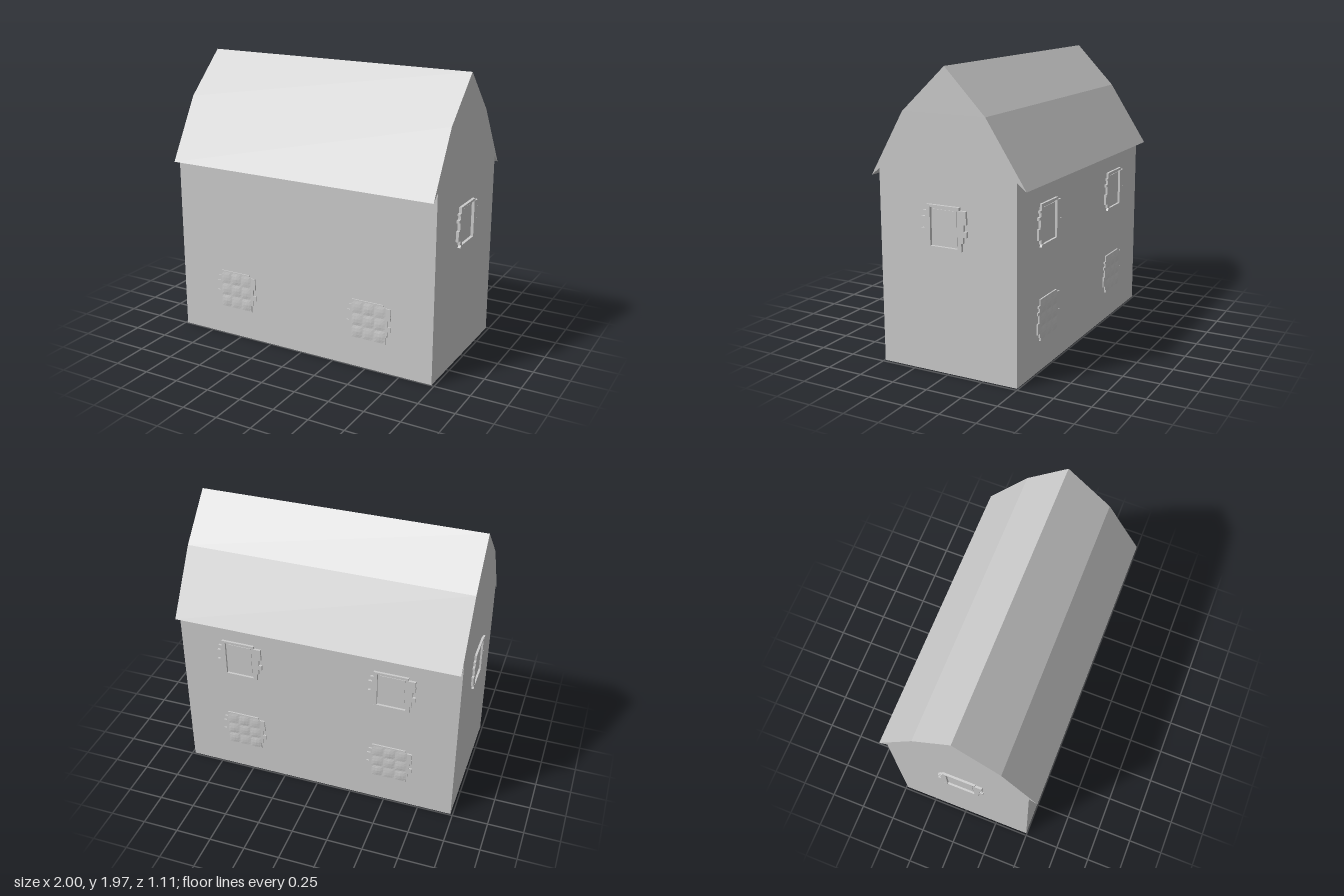
import * as THREE from 'three';

const grey = new THREE.MeshStandardMaterial({ color: 0xcccccc, flatShading: true });
const XMIN = -0.985, XMAX = 0.98, ZMIN = -0.49, ZMAX = 0.495, EAVE = 1.3;

// Irregular quoined outline of a window surround, centred on its own origin
const SURROUND = [
  [-0.125, -0.14], [0.125, -0.14], [0.125, -0.085], [0.137, -0.085], [0.137, -0.045],
  [0.163, -0.045], [0.163, -0.008], [0.142, -0.008], [0.142, 0.035], [0.16, 0.035],
  [0.16, 0.075], [0.158, 0.075], [0.158, 0.12], [0.11, 0.12], [0.11, 0.14],
  [-0.125, 0.14], [-0.125, 0.1], [-0.148, 0.1], [-0.148, 0.085], [-0.135, 0.085],
  [-0.135, 0.06], [-0.16, 0.06], [-0.16, 0.04], [-0.142, 0.04], [-0.142, -0.015],
  [-0.163, -0.015], [-0.163, -0.088], [-0.132, -0.088], [-0.132, -0.118], [-0.115, -0.118],
];
const toShape = (pts) => new THREE.Shape(pts.map(([x, y]) => new THREE.Vector2(x, y)));

function addMesh(parent, geometry, name) {
  const mesh = new THREE.Mesh(geometry, grey);
  mesh.name = name;
  parent.add(mesh);
  return mesh;
}

// Window with a stone surround: either an open pane or rough stone infill
function makeWindow(name, filled, depth) {
  const group = new THREE.Group();
  group.name = name;
  const shape = toShape(SURROUND);
  if (!filled) {
    const hole = [[-0.1, -0.125], [-0.1, 0.125], [0.098, 0.125], [0.098, -0.125]];
    shape.holes.push(new THREE.Path(hole.map(([x, y]) => new THREE.Vector2(x, y))));
  }
  const base = filled ? depth - 0.006 : depth;
  const frame = new THREE.ExtrudeGeometry(shape, { depth: base, bevelEnabled: false });
  addMesh(group, frame, 'surround');

  if (filled) {
    // Three by three rounded stones rising from the slab
    const stones = new THREE.PlaneGeometry(0.25, 0.264, 12, 12);
    const p = stones.attributes.position;
    for (let i = 0; i < p.count; i++) {
      const x = p.getX(i), y = p.getY(i);
      const bump = Math.abs(Math.sin((x / 0.25 + 0.5) * 3 * Math.PI) *
        Math.sin((y / 0.264 + 0.5) * 3 * Math.PI));
      p.setZ(i, base + 0.0003 + 0.0055 * bump * (0.8 + 0.2 * Math.sin(x * 40 + y * 23)));
    }
    stones.computeVertexNormals();
    addMesh(group, stones, 'stoneInfill');
  } else {
    addMesh(group, new THREE.BoxGeometry(0.17, 0.22, 0.004), 'pane').position.z = 0.002;
  }
  return group;
}

export function createModel() {
  const model = new THREE.Group();
  model.name = 'house';

  // Walls
  const walls = new THREE.BoxGeometry(XMAX - XMIN, EAVE, ZMAX - ZMIN);
  walls.translate((XMIN + XMAX) / 2, EAVE / 2, (ZMIN + ZMAX) / 2);
  addMesh(model, walls, 'walls');

  // Two-pitch roof with its gable ends; profile runs from front (-s) to back (+s)
  const profile = [
    [-ZMAX, EAVE], [-0.555, 1.25], [-0.31, 1.675], [0, 1.965],
    [0.28, 1.675], [0.555, 1.25], [-ZMIN, EAVE],
  ];
  const roof = new THREE.ExtrudeGeometry(toShape(profile), { depth: XMAX - XMIN, bevelEnabled: false });
  roof.rotateY(Math.PI / 2);
  roof.translate(XMIN, 0, 0);
  addMesh(model, roof, 'roof');

  // Windows: name, position, turn about y, filled, depth
  const LOW = 0.347, HIGH = 0.97, H = Math.PI / 2;
  const windows = [
    ['sideWindowLeft', XMAX, HIGH, 0.01, H, false, 0.02],
    ['sideWindowRight', XMIN, HIGH, 0.01, -H, false, 0.015],
  ];
  for (const x of [-0.53, 0.52]) {
    windows.push(['frontWindow', x, LOW, ZMAX, 0, true, 0.014]);
  }
  for (const x of [-0.53, 0.55]) {
    windows.push(['backLowerWindow', x, LOW, ZMIN, Math.PI, true, 0.016]);
    windows.push(['backUpperWindow', x, HIGH, ZMIN, Math.PI, false, 0.016]);
  }
  for (const [name, x, y, z, turn, filled, depth] of windows) {
    const w = makeWindow(name, filled, depth);
    w.position.set(x, y, z);
    w.rotation.y = turn;
    model.add(w);
  }
  return model;
}
